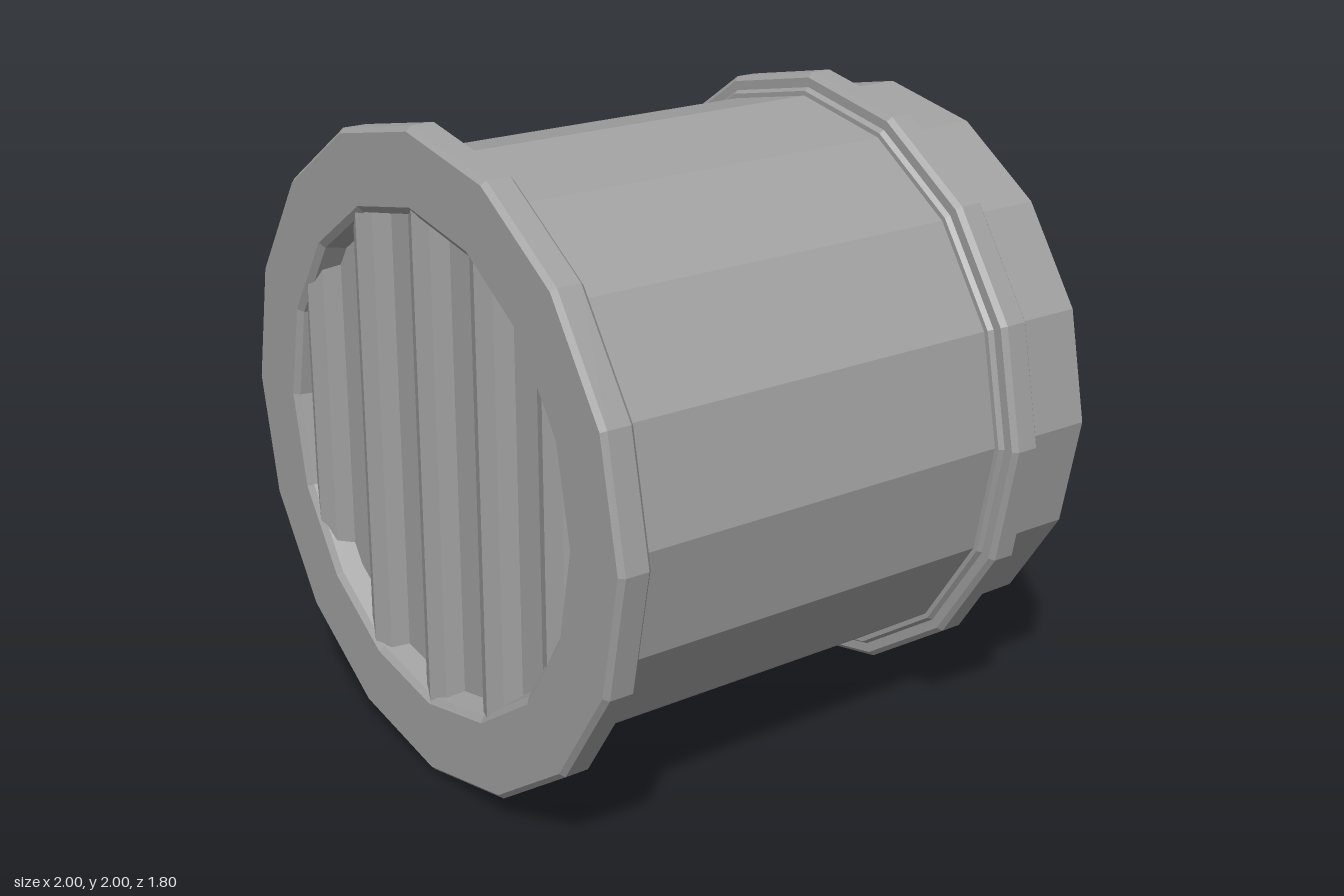
import * as THREE from 'three';

const SIDES = 16;

export function createModel() {
  const model = new THREE.Group();
  model.name = 'ventPipe';

  const metal = new THREE.MeshStandardMaterial({ color: 0xa0a0a0, flatShading: true, side: THREE.DoubleSide });
  metal.name = 'grey metal';

  const body = new THREE.Group();
  body.name = 'pipeAssembly';
  body.position.y = 1;
  model.add(body);

  const add = (name, geometry) => {
    const mesh = new THREE.Mesh(geometry, metal);
    mesh.name = name;
    body.add(mesh);
    return mesh;
  };

  // Revolves [radius, z] points around the z axis
  const revolve = (name, points) => {
    const profile = points.map(([r, z]) => new THREE.Vector2(r, z));
    return add(name, new THREE.LatheGeometry(profile, SIDES).rotateX(Math.PI / 2));
  };

  // Thin-walled pipe, open at the back
  revolve('pipe', [[0.9, -0.9], [0.9, 0.82]]);

  // Front flange with bevelled rim, stepped foot and tapered inner lip
  revolve('frontFlange', [
    [0.73, 0.79], [0.9, 0.78], [0.915, 0.78], [0.925, 0.795], [0.985, 0.795], [1, 0.81],
    [1, 0.885], [0.985, 0.9], [0.77, 0.9], [0.75, 0.885], [0.73, 0.79],
  ]);

  // Rear collar, showing as a low bead on the inside
  revolve('rearCollar', [
    [0.885, -0.64], [0.9, -0.66], [0.915, -0.66], [0.925, -0.645], [0.955, -0.645], [0.97, -0.63],
    [0.97, -0.56], [0.955, -0.545], [0.925, -0.545], [0.915, -0.53], [0.9, -0.53],
    [0.885, -0.55], [0.885, -0.64],
  ]);

  // Plate closing the pipe behind the grille
  add('backPlate', new THREE.CircleGeometry(0.76, SIDES)).position.z = 0.82;

  // Vertical eight-sided grille bars, ending inside the flange
  for (let i = -2; i <= 2; i++) {
    const x = i * 0.32;
    const inner = Math.max(0, Math.abs(x) - 0.08);
    const half = Math.sqrt(0.765 ** 2 - inner ** 2);
    const bar = add('grilleBar', new THREE.CylinderGeometry(0.08, 0.08, 2 * half, 8));
    bar.position.set(x, 0, 0.815);
  }

  return model;
}
